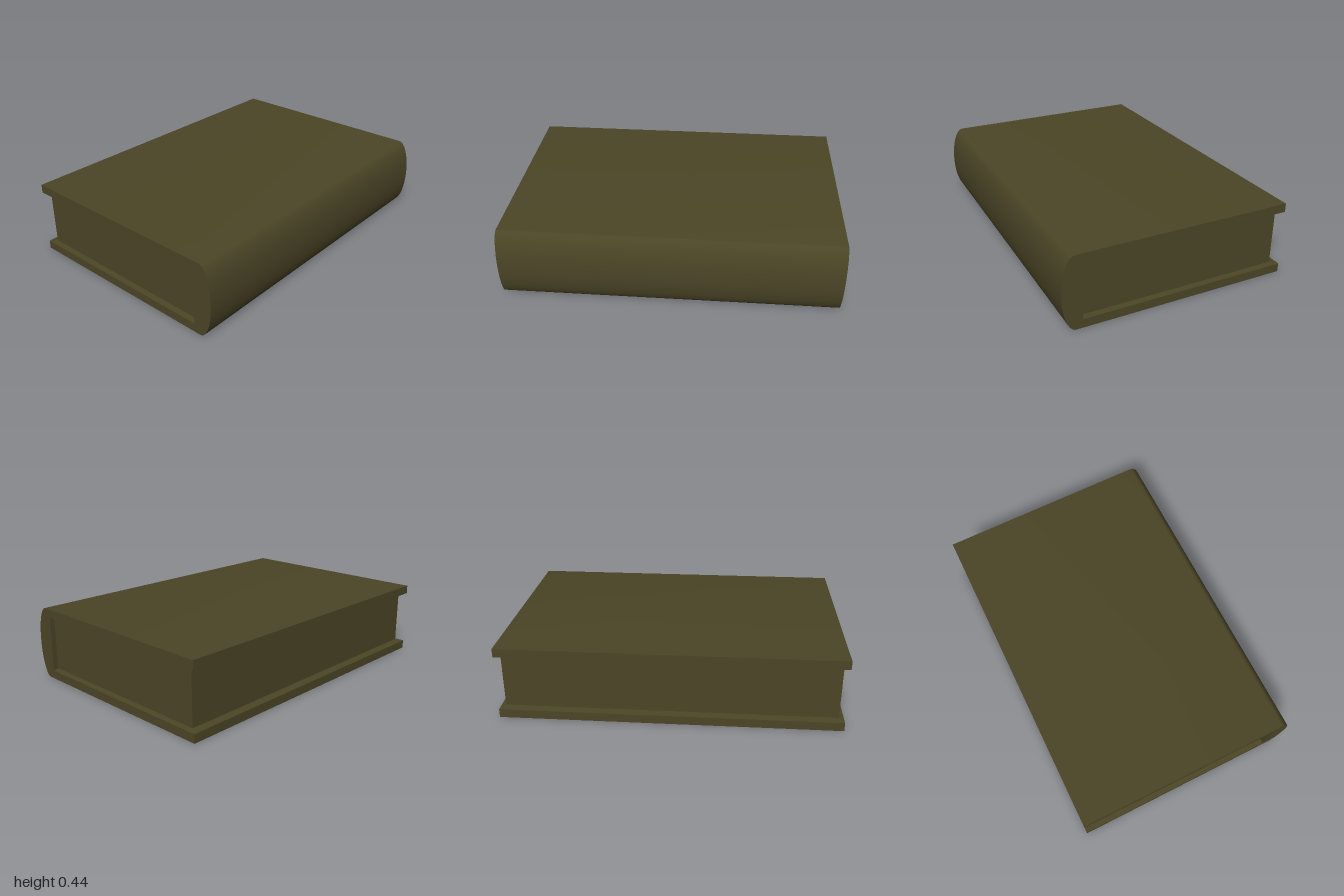
import * as THREE from 'three';
import { toCreasedNormals } from 'three/addons/utils/BufferGeometryUtils.js';

const H = 0.445, MID = H / 2;      // book height and its middle
const LEFT = -0.69, SPINE = 0.57;  // fore edge and inner side of the spine
const GAP = 0.17, PAGE = 0.163;    // half heights of the cover opening and the page block
const PAGE_X = -0.645, PAGE_Z = 0.97;

function mesh(name, geometry, material) {
  const m = new THREE.Mesh(geometry, material);
  m.name = name;
  return m;
}

// C-shaped cover: two boards joined by a rounded spine
function coverGeometry() {
  const s = new THREE.Shape();
  s.moveTo(LEFT, 0);
  s.lineTo(0.612, 0);
  s.absellipse(0.612, MID, 0.078, MID, -Math.PI / 2, Math.PI / 2, false);
  s.lineTo(LEFT, H);
  s.lineTo(LEFT, MID + GAP);
  s.lineTo(SPINE, MID + GAP);
  s.lineTo(SPINE, MID - GAP);
  s.lineTo(LEFT, MID - GAP);
  s.closePath();
  const g = new THREE.ExtrudeGeometry(s, { depth: 2, bevelEnabled: false, curveSegments: 24 });
  g.translate(0, 0, -1);
  return toCreasedNormals(g, 0.6);
}

// Thin lining whose inner face shrinks to the outline of the pages
function liningGeometry(side) {
  const g = new THREE.BoxGeometry(1, 1, 1);
  const p = g.attributes.position;
  for (let i = 0; i < p.count; i++) {
    const inner = p.getY(i) * side < 0;
    p.setXYZ(i,
      p.getX(i) > 0 ? SPINE : inner ? PAGE_X : LEFT,
      MID + side * (inner ? PAGE : GAP),
      Math.sign(p.getZ(i)) * (inner ? PAGE_Z : 1));
  }
  g.computeVertexNormals();
  return g;
}

export function createModel() {
  const olive = new THREE.MeshStandardMaterial({ color: 0x4b4526 });
  olive.name = 'olive brown';

  const book = new THREE.Group();
  book.name = 'book';
  book.add(mesh('cover', coverGeometry(), olive));
  book.add(mesh('upperLining', liningGeometry(1), olive));
  book.add(mesh('lowerLining', liningGeometry(-1), olive));

  // Page block, set back from the board edges
  const pages = mesh('pages', new THREE.BoxGeometry(SPINE - PAGE_X, PAGE * 2, PAGE_Z * 2), olive);
  pages.position.set((SPINE + PAGE_X) / 2, MID, 0);
  book.add(pages);
  return book;
}
